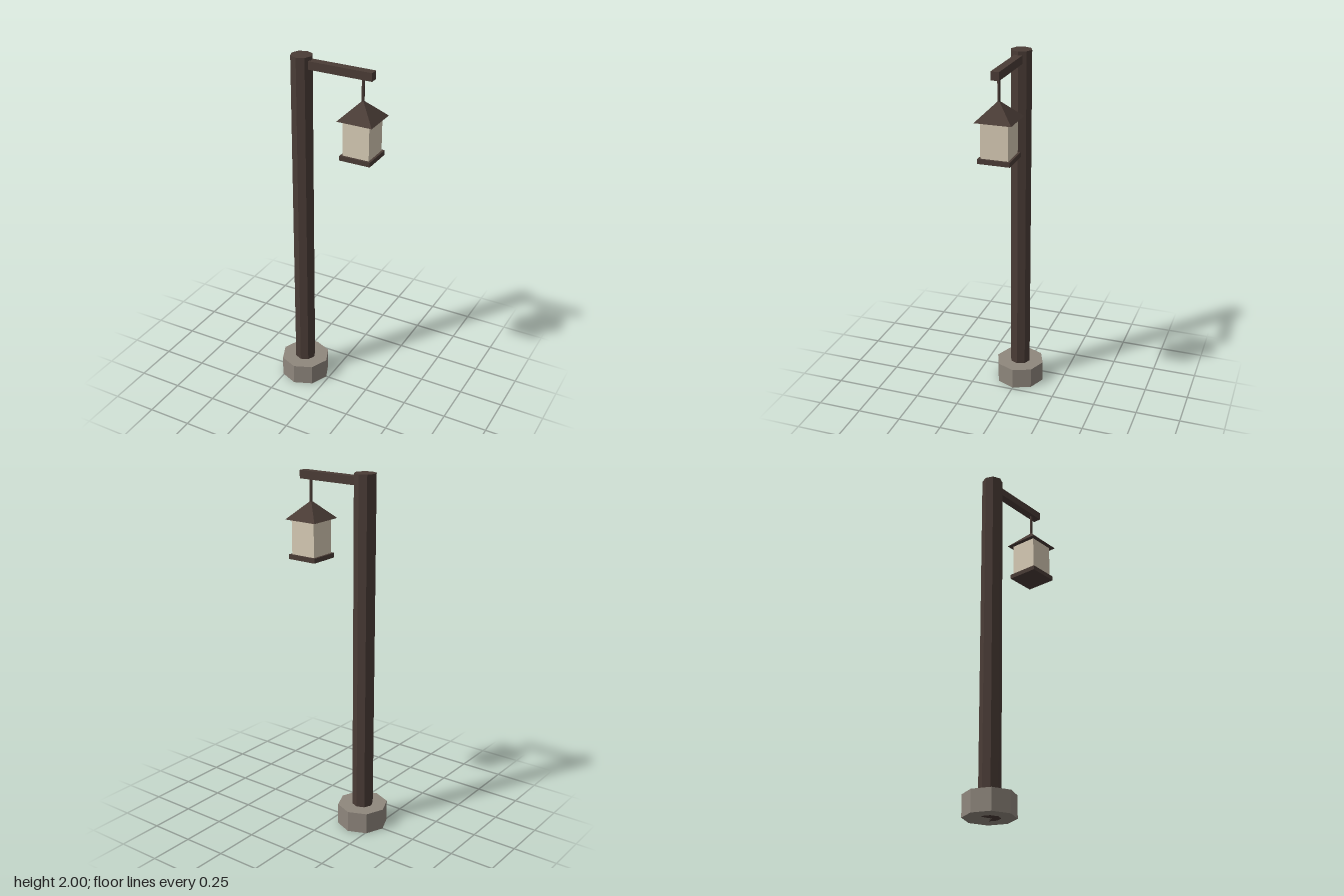
import * as THREE from 'three';

const material = (name, color) => {
  const m = new THREE.MeshStandardMaterial({ color, flatShading: true });
  m.name = name;
  return m;
};

export function createModel() {
  const wood = material('dark wood', 0x4a3c36);
  const stone = material('stone', 0x8f877d);
  const glass = material('pale glass', 0xd6cab4);

  const group = new THREE.Group();
  group.name = 'lampPost';
  const add = (parent, name, geometry, mat, x, y) => {
    const mesh = new THREE.Mesh(geometry, mat);
    mesh.name = name;
    mesh.position.set(x, y, 0);
    parent.add(mesh);
    return mesh;
  };

  // Octagonal post standing in a stone footing
  const postX = -0.157;
  add(group, 'footing', new THREE.CylinderGeometry(0.141, 0.141, 0.12, 8), stone, postX, 0.06);
  add(group, 'post', new THREE.CylinderGeometry(0.059, 0.059, 2, 8), wood, postX, 1);

  // Side arm, set into the post
  add(group, 'arm', new THREE.BoxGeometry(0.412, 0.045, 0.045), wood, 0.049, 1.957);

  // Hanging lantern
  const lantern = new THREE.Group();
  lantern.name = 'lantern';
  lantern.position.x = 0.197;
  group.add(lantern);
  add(lantern, 'hanger', new THREE.CylinderGeometry(0.008, 0.008, 0.14, 6), wood, 0, 1.87);
  const roof = add(lantern, 'roof', new THREE.ConeGeometry(0.141, 0.1, 4), wood, 0, 1.77);
  roof.rotation.y = Math.PI / 4;
  add(lantern, 'lampGlass', new THREE.BoxGeometry(0.15, 0.194, 0.15), glass, 0, 1.624);
  add(lantern, 'lanternBase', new THREE.BoxGeometry(0.175, 0.026, 0.175), wood, 0, 1.515);

  return group;
}
